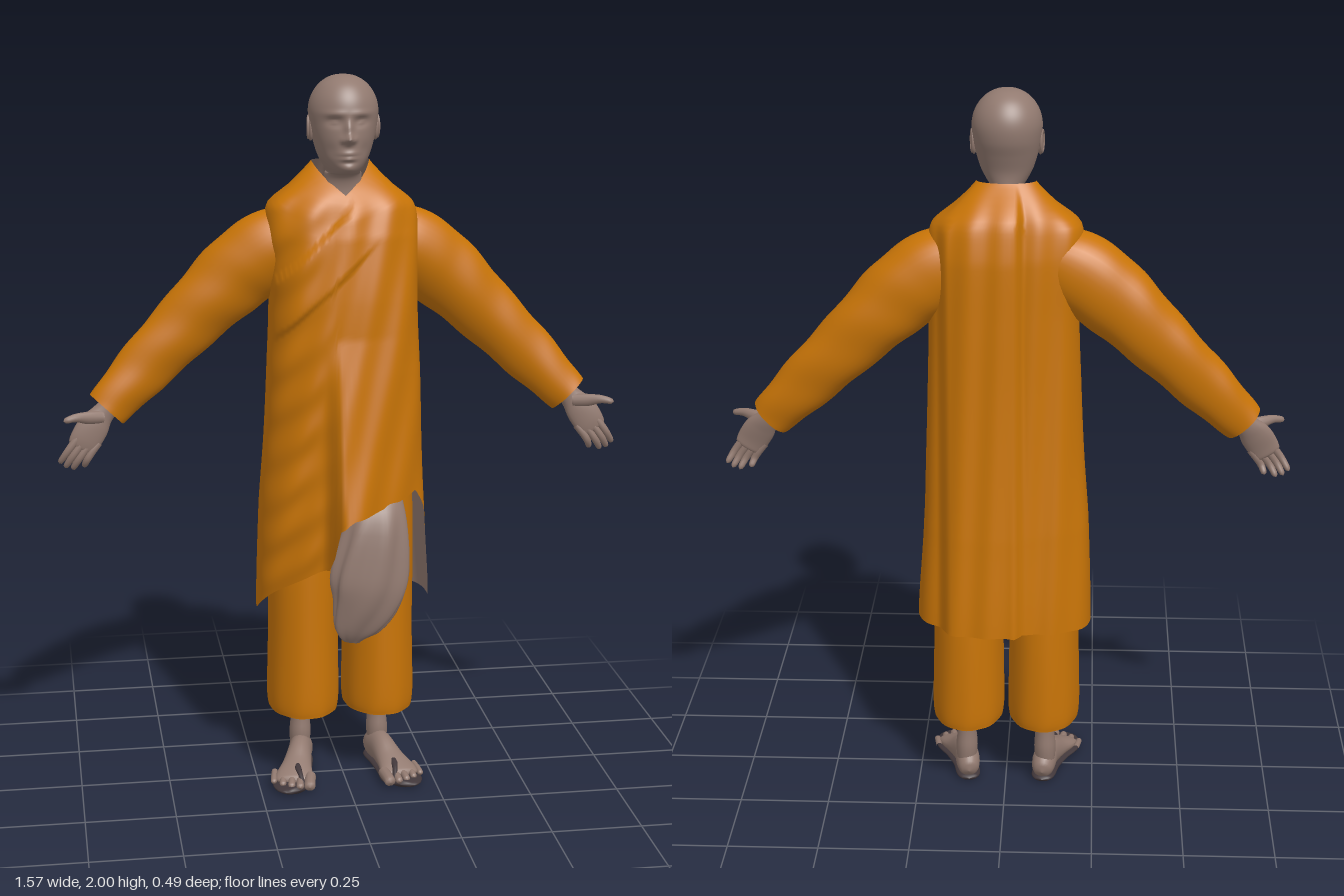
import * as THREE from 'three';

const V = (x, y, z) => new THREE.Vector3(x, y, z);
const clamp = THREE.MathUtils.clamp, step = THREE.MathUtils.smoothstep;
const gauss = (d, w) => Math.exp(-((d / w) ** 2));
const spow = (v, p) => Math.sign(v) * Math.abs(v) ** p;

// Catmull-Rom sample of a table of rows, t in 0..1
function sample(rows, t) {
  const f = clamp(t, 0, 1) * (rows.length - 1), k = Math.min(Math.floor(f), rows.length - 2), u = f - k;
  const at = i => rows[clamp(i, 0, rows.length - 1)];
  return rows[0].map((_, c) => {
    const [p, q, r, s] = [at(k - 1)[c], at(k)[c], at(k + 1)[c], at(k + 2)[c]];
    return q + 0.5 * u * (r - p + u * (2 * p - 5 * q + 4 * r - s + u * (3 * (q - r) + s - p)));
  });
}

// Table lookup by a decreasing first column
function lookup(rows, y) {
  let k = 0;
  while (k < rows.length - 2 && y < rows[k + 1][0]) k++;
  return sample(rows, (k + clamp((rows[k][0] - y) / (rows[k][0] - rows[k + 1][0]), 0, 1)) / (rows.length - 1));
}

// Closed tube surface from point(angle, t)
function surface(point, segs, rings) {
  const pos = [], idx = [];
  for (let i = 0; i <= rings; i++)
    for (let j = 0; j < segs; j++) pos.push(...point((j / segs) * Math.PI * 2 - Math.PI, i / rings).toArray());
  for (let i = 0; i < rings; i++)
    for (let j = 0; j < segs; j++) {
      const a = i * segs + j, b = i * segs + ((j + 1) % segs);
      idx.push(a, a + segs, b, b, a + segs, b + segs);
    }
  const g = new THREE.BufferGeometry();
  g.setAttribute('position', new THREE.Float32BufferAttribute(pos, 3));
  g.setIndex(idx);
  g.computeVertexNormals();
  return g;
}

// Limb through rows [x, y, z, radius across, radius along ref]
function limb(rows, { side = 1, ref = V(0, 0, 1), segs = 16, rings = 16, startCap = 0, endCap = 0, ripple = () => 1 } = {}) {
  const at = t => { const r = sample(rows, t); r[0] *= side; return r; };
  return surface((a, t) => {
    const r = at(t), p = at(t - 0.01), q = at(t + 0.01);
    const T = V(q[0] - p[0], q[1] - p[1], q[2] - p[2]).normalize();
    const A = V().crossVectors(T, ref).normalize(), B = V().crossVectors(A, T);
    let k = ripple(a, t);
    if (startCap && t < startCap) k *= Math.sqrt(1 - (1 - t / startCap) ** 2);
    if (endCap && t > 1 - endCap) k *= Math.sqrt(Math.max(0, 1 - ((t - 1 + endCap) / endCap) ** 2));
    return V(r[0], r[1], r[2]).addScaledVector(A, r[3] * k * Math.cos(a)).addScaledVector(B, r[4] * k * Math.sin(a));
  }, segs, rings);
}

// Robe: height, right width, left width, front z, back z
const ROBE = [
  [1.77, 0.075, 0.075, 0.02, -0.08], [1.7, 0.14, 0.14, 0.055, -0.125], [1.65, 0.2, 0.2, 0.085, -0.145],
  [1.57, 0.208, 0.212, 0.11, -0.16], [1.4, 0.198, 0.21, 0.135, -0.165], [1.2, 0.205, 0.215, 0.145, -0.17],
  [1.0, 0.215, 0.222, 0.148, -0.18], [0.8, 0.23, 0.23, 0.15, -0.195], [0.5, 0.24, 0.25, 0.13, -0.215],
];
// Hem height by angle in degrees from the front
const HEM = [[-180, 0.52], [-90, 0.5], [-57, 0.57], [-9, 0.66], [-6, 0.79], [0, 0.82], [53, 0.865], [73, 0.8], [88, 0.52], [181, 0.52]];
function hem(a) {
  const d = THREE.MathUtils.radToDeg(a);
  const k = Math.max(1, HEM.findIndex(h => h[0] > d));
  const [p, q] = [HEM[k - 1], HEM[k]];
  return p[1] + (q[1] - p[1]) * (d - p[0]) / (q[0] - p[0]);
}
// Neckline, a V at the front and round at the back
function collarPoint(a) {
  const u = Math.min(1, Math.abs(a) / (Math.PI / 2)), s = Math.sin(a), c = Math.cos(a);
  if (c < 0) return V(0.08 * s, 1.765, -0.04 + 0.042 * c);
  return V(0.08 * (0.5 * u * Math.sign(a) + 0.5 * s), 1.765 - 0.085 * (1 - u), -0.04 + 0.105 * (0.5 * (1 - u) + 0.5 * c));
}
function robePoint(a, t) {
  const collar = collarPoint(a), y = collar.y + (hem(a) - collar.y) * t, zc = -0.04;
  const boxy = a > 0 && Math.cos(a) > 0 ? 0.2 * clamp((1.6 - y) / 0.4, 0, 1) : 0;
  const s = spow(Math.sin(a), 0.8), c = spow(Math.cos(a), 0.8 - boxy);
  const [, xl, xr, zf, zb] = lookup(ROBE, y);
  const x = s * (s > 0 ? xr : xl), low = clamp((1.3 - y) / 0.5, 0, 1);
  let z = zc + c * (c > 0 ? zf - zc : zc - zb);
  const w = step(Math.abs(c), 0, 0.4) * step(t, 0, 0.08);
  if (c > 0) {
    // hanging front ridge, two diagonal sash edges, long slanting folds
    z += w * 0.098 * low * gauss(x + 0.03, x > -0.03 ? 0.12 : 0.022);
    const sash = y - (1.7 + (x - 0.07) * 0.95);
    z -= w * (0.012 * step(sash, -0.005, 0.005) - 0.009 * step(sash, -0.16, -0.148) * step(-x, -0.1, 0));
    z += w * (0.004 * Math.sin(60 * (x - 0.25 * y)) + 0.004 * Math.sin(90 * (x * 0.5 - 0.6 * y)) * step(-x, 0, 0.15));
  } else {
    // cape panel hanging from the left shoulder
    z -= w * 0.032 * step(x, -0.05, -0.03) * (1 - step(x, 0.15, 0.185));
    z += w * 0.004 * Math.sin(70 * (x + 0.04 * y));
  }
  return collar.lerp(V(x, y, z), step(t, -0.04, 0.07) * Math.min(1, t / 0.03));
}

// Head and neck: height, half width, front z, back z
const HEAD = [
  [2.0, 0.0005, 0.012, 0.011], [1.994, 0.034, 0.052, -0.026], [1.975, 0.064, 0.086, -0.058], [1.945, 0.085, 0.109, -0.08],
  [1.91, 0.094, 0.119, -0.089], [1.87, 0.091, 0.118, -0.085], [1.83, 0.083, 0.12, -0.07], [1.79, 0.071, 0.12, -0.056],
  [1.762, 0.057, 0.116, -0.053], [1.743, 0.046, 0.1, -0.055], [1.735, 0.05, 0.064, -0.058], [1.7, 0.053, 0.048, -0.065], [1.63, 0.07, 0.05, -0.075],
];
// Facial relief: x, y, width, height, depth (mirrored)
const FACE = [
  [0, 1.838, 0.012, 0.013, 0.027], [0, 1.865, 0.01, 0.02, 0.014], [0.015, 1.834, 0.008, 0.008, 0.008],
  [0.036, 1.882, 0.02, 0.012, -0.012], [0.036, 1.88, 0.012, 0.006, 0.007], [0.035, 1.903, 0.03, 0.008, 0.004],
  [0, 1.799, 0.022, 0.006, 0.006], [0, 1.785, 0.019, 0.006, 0.006], [0, 1.792, 0.026, 0.002, -0.004],
  [0, 1.774, 0.02, 0.006, -0.004], [0, 1.757, 0.02, 0.011, 0.005], [0.045, 1.805, 0.015, 0.02, -0.004],
];
function headPoint(a, t) {
  const [y, hw, zf, zb] = sample(HEAD, t), zc = 0.012;
  const x = hw * Math.sin(a), c = Math.cos(a);
  let z = zc + c * (c > 0 ? zf - zc : zc - zb);
  if (c > 0) for (const [fx, fy, w, h, d] of FACE)
    z += d * gauss(Math.abs(x) - fx, w) * gauss(y - fy, h) * step(c, 0, 0.5);
  return V(x, y, z);
}

export function createModel() {
  const model = new THREE.Group();
  const mat = (name, color, extra = {}) => Object.assign(new THREE.MeshStandardMaterial({ color }), { name }, extra);
  const skin = mat('skin', 0x927a70);
  const orange = mat('orange cloth', 0xc87407, { side: THREE.DoubleSide });
  const orangeOuter = mat('orange cloth outer', 0xc87407);
  const brown = mat('brown cloth', 0x927a70, { side: THREE.DoubleSide });
  const lining = mat('brown lining', 0x927a70, { side: THREE.BackSide });
  const dark = mat('dark sole', 0x41373a);
  const add = (name, geo, m, parent = model) => {
    const mesh = new THREE.Mesh(geo, m);
    mesh.name = name;
    parent.add(mesh);
    return mesh;
  };

  const robe = surface(robePoint, 180, 90);
  add('robe', robe, orangeOuter);
  add('robeLining', robe, lining);
  add('head', surface(headPoint, 112, 96), skin);

  // Cloth end hanging below the front of the robe
  add('hangingCloth', limb([
    [0.065, 0.88, 0.1, 0.075, 0.03], [0.072, 0.79, 0.145, 0.085, 0.05], [0.055, 0.65, 0.165, 0.106, 0.05],
    [0.04, 0.57, 0.17, 0.093, 0.04], [0.01, 0.49, 0.165, 0.06, 0.02], [0.003, 0.448, 0.155, 0.02, 0.005],
  ], { segs: 48, rings: 24, ripple: (a, t) => 1 + 0.07 * Math.sin(7 * a + 5 * t) * step(t, 0.1, 0.3) }), brown);

  for (const side of [1, -1]) {
    const pre = side > 0 ? 'left' : 'right';

    add(pre + 'Ear', new THREE.SphereGeometry(1, 16, 14).scale(0.009, 0.035, 0.02), skin)
      .position.set(side * 0.088, 1.858, 0.012);
    const rim = add(pre + 'EarRim', new THREE.TorusGeometry(0.017, 0.004, 8, 20).scale(0.9, 1.6, 1), skin);
    rim.position.set(side * 0.093, 1.86, 0.008);
    rim.rotation.set(0, Math.PI / 2 + side * 0.2, 0);

    add(pre + 'Sleeve', limb([
      [0.07, 1.585, -0.05, 0.06, 0.07], [0.18, 1.53, -0.055, 0.108, 0.09], [0.29, 1.45, -0.065, 0.107, 0.083],
      [0.42, 1.325, -0.068, 0.09, 0.07], [0.55, 1.195, -0.057, 0.077, 0.056], [0.65, 1.092, -0.038, 0.06, 0.05],
    ], { side, segs: 36, rings: 48, ripple: (a, t) => 1 + 0.022 * Math.sin(34 * t + 2 * a) * step(t, 0.2, 0.5) + 0.012 * Math.sin(5 * a) }), orange);

    // Hand with four fingers and a thumb
    const hand = new THREE.Group();
    hand.name = pre + 'Hand';
    model.add(hand);
    add('palm', limb([
      [0.57, 1.175, -0.04, 0.03, 0.026], [0.65, 1.092, -0.032, 0.03, 0.022], [0.685, 1.05, -0.022, 0.043, 0.019],
      [0.71, 1.012, -0.016, 0.043, 0.014], [0.727, 0.985, -0.016, 0.036, 0.01],
    ], { side, segs: 20, rings: 24, endCap: 0.1 }), skin, hand);
    [[0.738, 1.01, 0.783, 0.945], [0.726, 0.995, 0.768, 0.932], [0.711, 0.985, 0.748, 0.927], [0.694, 0.978, 0.716, 0.934]]
      .forEach(([x, y, tx, ty], i) => add('finger' + (i + 1), limb([
        [x - 0.02, y + 0.025, -0.017, 0.011, 0.01], [x, y, -0.014, 0.0115, 0.0105],
        [(x + tx) / 2 + 0.002, (y + ty) / 2, -0.014, 0.01, 0.009], [tx, ty, -0.028, 0.008, 0.0075],
      ], { side, segs: 10, rings: 14, endCap: 0.15 }), skin, hand));
    add('thumb', limb([
      [0.662, 1.075, -0.018, 0.018, 0.016], [0.7, 1.078, -0.002, 0.018, 0.015],
      [0.735, 1.083, 0.015, 0.012, 0.011], [0.769, 1.077, 0.028, 0.008, 0.008],
    ], { side, segs: 10, rings: 14, endCap: 0.15 }), skin, hand);

    // Wide trouser leg
    add(pre + 'Trouser', limb([
      [0.1, 1.0, -0.045, 0.1, 0.12], [0.105, 0.7, -0.045, 0.102, 0.13], [0.107, 0.45, -0.048, 0.099, 0.136],
      [0.108, 0.25, -0.048, 0.102, 0.138], [0.108, 0.198, -0.048, 0.098, 0.134],
    ], { side, segs: 44, rings: 28, ripple: (a, t) => 1 + 0.01 * Math.sin(9 * a + 3 * t) * t }), orange);

    add(pre + 'Shin', limb([
      [0.11, 0.5, -0.06, 0.045, 0.055], [0.11, 0.3, -0.075, 0.038, 0.046], [0.112, 0.17, -0.078, 0.027, 0.034],
      [0.113, 0.1, -0.077, 0.031, 0.038], [0.114, 0.04, -0.077, 0.026, 0.03],
    ], { side, rings: 20 }), skin);

    // Foot turned outward, with five toes, a dark sole and a toe strap
    const foot = new THREE.Group();
    foot.name = pre + 'Foot';
    model.add(foot);
    const up = V(0, 1, 0);
    add('footBody', limb([
      [0.105, 0.034, -0.122, 0.026, 0.028], [0.11, 0.046, -0.08, 0.034, 0.043], [0.12, 0.052, -0.03, 0.034, 0.047],
      [0.136, 0.038, 0.03, 0.042, 0.032], [0.15, 0.027, 0.08, 0.053, 0.02], [0.156, 0.02, 0.112, 0.048, 0.012],
    ], { side, ref: up, segs: 24, rings: 28, startCap: 0.12, endCap: 0.1 }), skin, foot);
    add('sole', limb([
      [0.105, 0.01, -0.122, 0.027, 0.01], [0.11, 0.01, -0.08, 0.035, 0.01], [0.12, 0.01, -0.03, 0.036, 0.01],
      [0.136, 0.01, 0.03, 0.045, 0.01], [0.152, 0.01, 0.085, 0.059, 0.01], [0.156, 0.01, 0.125, 0.054, 0.01], [0.145, 0.01, 0.152, 0.03, 0.01],
    ], { side, ref: up, segs: 24, rings: 28, startCap: 0.12, endCap: 0.08 }), dark, foot);
    add('toeStrap', limb([
      [0.131, 0.02, 0.135, 0.006, 0.006], [0.136, 0.04, 0.105, 0.007, 0.006], [0.139, 0.049, 0.08, 0.009, 0.005], [0.138, 0.055, 0.06, 0.006, 0.004],
    ], { side, ref: up, segs: 10, rings: 12, endCap: 0.15 }), dark, foot);
    for (let i = 0; i < 5; i++) {
      const r = i ? 0.0115 - i * 0.0007 : 0.016, x = 0.106 + i * 0.023 + (i ? 0.004 : 0), z = 0.157 - i * i * 0.0032;
      add('toe' + (i + 1), limb([
        [x, 0.027, z - 0.065, r, r], [x + 0.006, 0.024, z - 0.03, r, r], [x + 0.01, 0.02, z, r, r * 0.9],
      ], { side, ref: up, segs: 10, rings: 12, endCap: 0.2 }), skin, foot);
    }
  }
  return model;
}
